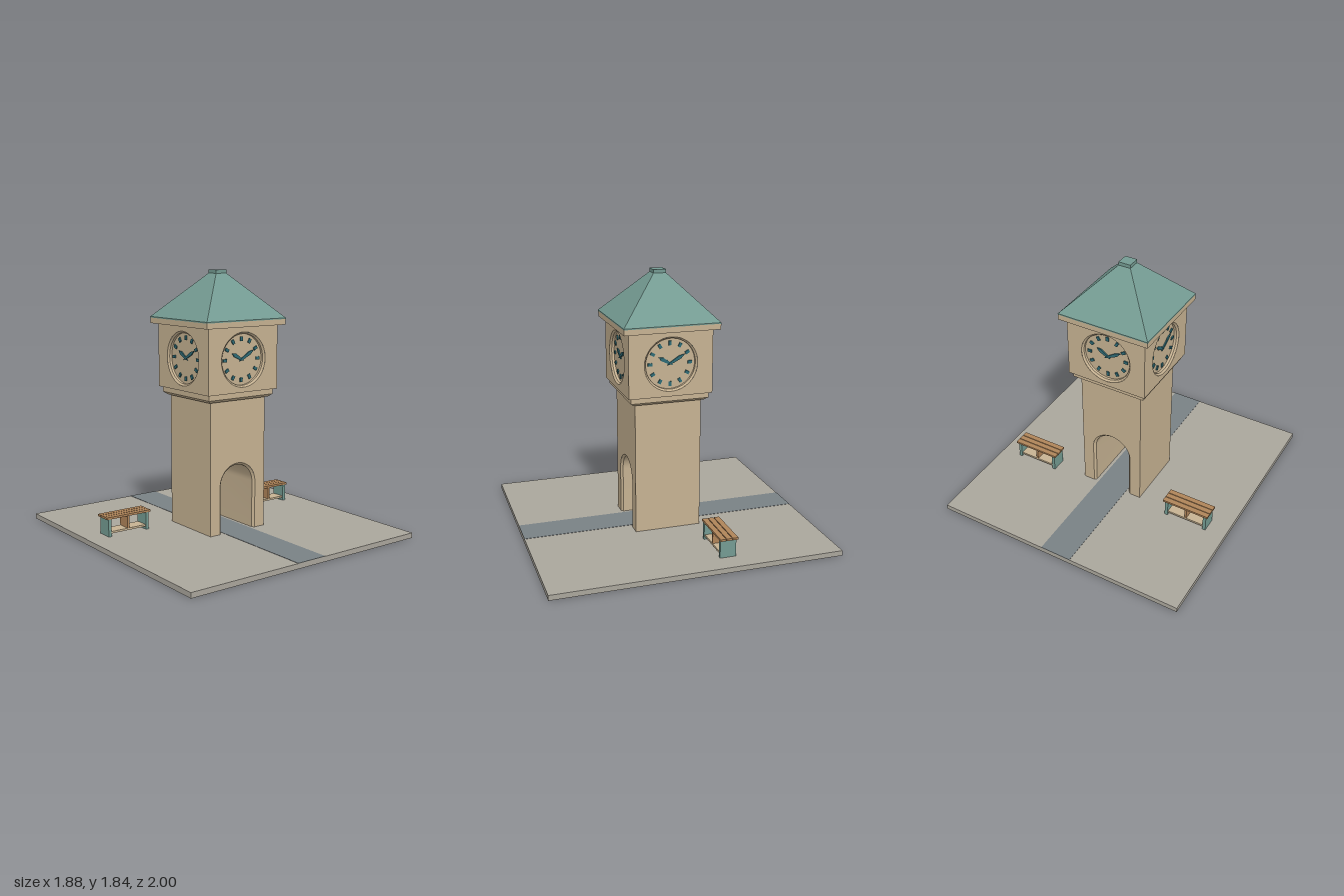
import * as THREE from 'three';
import { toCreasedNormals } from 'three/addons/utils/BufferGeometryUtils.js';

const material = (name, color) => Object.assign(new THREE.MeshStandardMaterial({ color }), { name });

export function createModel() {
  const stone = material('sandstone', 0xc6b292);
  const copper = material('copper green', 0x749b92);
  const paving = material('paving', 0xaaa69c);
  const pathGrey = material('path grey', 0x798184);
  const wood = material('wood', 0xaf8459);
  const teal = material('clock teal', 0x2f6b75);

  const model = new THREE.Group();
  model.name = 'clockTower';

  const add = (parent, name, geometry, mat, x = 0, y = 0, z = 0) => {
    const mesh = new THREE.Mesh(geometry, mat);
    mesh.name = name;
    mesh.position.set(x, y, z);
    parent.add(mesh);
    return mesh;
  };
  const group = (parent, name) => {
    const g = new THREE.Group();
    g.name = name;
    parent.add(g);
    return g;
  };
  // Square block from y0 to y1, with half-widths at the bottom and top
  const block = (parent, name, mat, y0, y1, bottom, top = bottom) => {
    const s = Math.SQRT2;
    const g = new THREE.CylinderGeometry(top * s, bottom * s, y1 - y0, 4).rotateY(Math.PI / 4).toNonIndexed();
    g.computeVertexNormals();
    return add(parent, name, g, mat, 0, (y0 + y1) / 2, 0);
  };

  // Ground slab and path
  const ground = 0.036;
  add(model, 'plaza', new THREE.BoxGeometry(1.88, ground, 2), paving, 0, ground / 2, 0);
  add(model, 'path', new THREE.BoxGeometry(0.23, 0.002, 2), pathGrey, 0, ground + 0.001, 0);

  // Shaft: front and back walls with an arch, plain side walls
  const shaft = group(model, 'shaft');
  const half = 0.235, shaftTop = 0.975, spring = 0.37, archOuter = 0.153, archInner = 0.138;
  const wall = new THREE.Shape();
  wall.moveTo(-half, ground);
  wall.lineTo(-archOuter, ground);
  wall.lineTo(-archOuter, spring);
  wall.absarc(0, spring, archOuter, Math.PI, 0, true);
  wall.lineTo(archOuter, ground);
  wall.lineTo(half, ground);
  wall.lineTo(half, shaftTop);
  wall.lineTo(-half, shaftTop);
  const archWall = new THREE.ShapeGeometry(wall, 24).translate(0, 0, half);
  const sideWall = new THREE.PlaneGeometry(half * 2, shaftTop - ground).translate(0, (shaftTop + ground) / 2, half);
  ['frontWall', 'leftWall', 'backWall', 'rightWall'].forEach((name, i) => {
    add(shaft, name, i % 2 ? sideWall : archWall, stone).rotation.y = i * Math.PI / 2;
  });

  // Passage lining: arch cross-sections swept through the shaft, chamfered at both mouths
  const rings = [[half, archOuter], [half - 0.015, archInner], [0.015 - half, archInner], [-half, archOuter]];
  const positions = [], indices = [], count = 27;
  rings.forEach(([z, r], j) => {
    for (let i = 0; i < count; i++) {
      const a = Math.PI * (1 - (i - 1) / 24);
      if (i === 0) positions.push(-r, ground, z);
      else if (i === count - 1) positions.push(r, ground, z);
      else positions.push(r * Math.cos(a), spring + r * Math.sin(a), z);
      if (j < rings.length - 1 && i < count - 1) {
        const p = j * count + i, q = p + count;
        indices.push(p, q, p + 1, p + 1, q, q + 1);
      }
    }
  });
  const passage = new THREE.BufferGeometry();
  passage.setAttribute('position', new THREE.Float32BufferAttribute(positions, 3));
  passage.setIndex(indices);
  add(shaft, 'archPassage', toCreasedNormals(passage, 0.4), stone);

  // Collar under the clock room
  block(model, 'collarFlare', stone, 0.965, 0.985, 0.25, 0.275);
  block(model, 'collar', stone, 0.985, 1.025, 0.275);

  // Clock room: four walls, each with a recessed dial
  const room = group(model, 'clockRoom');
  const roomHalf = 0.295, roomBottom = 1.023, roomTop = 1.47, dialY = 1.245, dialZ = 0.265;
  const panel = new THREE.Shape([
    new THREE.Vector2(-roomHalf, roomBottom - dialY), new THREE.Vector2(roomHalf, roomBottom - dialY),
    new THREE.Vector2(roomHalf, roomTop - dialY), new THREE.Vector2(-roomHalf, roomTop - dialY)]);
  panel.holes.push(new THREE.Path().absarc(0, 0, 0.187, 0, Math.PI * 2, true));
  const panelGeometry = new THREE.ShapeGeometry(panel, 48);
  const rimProfile = [[0.187, roomHalf], [0.175, roomHalf - 0.012], [0.175, dialZ]];
  const rimGeometry = toCreasedNormals(new THREE.LatheGeometry(
    rimProfile.map(([r, y]) => new THREE.Vector2(r, y)), 48).rotateX(Math.PI / 2), 0.4);
  const dialGeometry = new THREE.CircleGeometry(0.176, 48);
  const markGeometry = new THREE.BoxGeometry(0.02, 0.03, 0.008);
  const handGeometry = (length, width) => new THREE.ExtrudeGeometry(new THREE.Shape([
    new THREE.Vector2(0, -0.022), new THREE.Vector2(width * 0.6, 0),
    new THREE.Vector2(width, length * 0.68), new THREE.Vector2(0, length),
    new THREE.Vector2(-width, length * 0.68), new THREE.Vector2(-width * 0.6, 0)]),
    { depth: 0.008, bevelEnabled: false });
  const hourHand = handGeometry(0.092, 0.013), minuteHand = handGeometry(0.118, 0.012);

  ['front', 'left', 'back', 'right'].forEach((side, i) => {
    const face = group(room, side + 'Clock');
    face.position.y = dialY;
    face.rotation.y = i * Math.PI / 2;
    add(face, 'clockWall', panelGeometry, stone, 0, 0, roomHalf);
    add(face, 'dialRim', rimGeometry, stone);
    add(face, 'dial', dialGeometry, stone, 0, 0, dialZ);
    for (let h = 0; h < 12; h++) {
      const a = h * Math.PI / 6;
      add(face, 'hourMark', markGeometry, teal, 0.14 * Math.sin(a), 0.14 * Math.cos(a), dialZ + 0.004).rotation.z = -a;
    }
    add(face, 'hourHand', hourHand, teal, 0, 0, dialZ).rotation.z = Math.PI / 3;
    add(face, 'minuteHand', minuteHand, teal, 0, 0, dialZ + 0.004).rotation.z = -Math.PI / 3;
  });
  add(room, 'roomFloor', new THREE.PlaneGeometry(roomHalf * 2, roomHalf * 2).rotateX(Math.PI / 2), stone, 0, roomBottom, 0);

  // Cornice, roof and cap
  block(model, 'cornice', stone, 1.468, 1.506, 0.335);
  block(model, 'eaves', copper, 1.506, 1.514, 0.336);
  block(model, 'roof', copper, 1.514, 1.82, 0.336, 0.04);
  block(model, 'roofCap', copper, 1.816, 1.84, 0.044);

  // Benches, one each side
  for (const side of [1, -1]) {
    const bench = group(model, side > 0 ? 'leftBench' : 'rightBench');
    bench.position.set(side * 0.633, 0, -0.236);
    for (const i of [-1, 0, 1]) {
      add(bench, 'seatSlat', new THREE.BoxGeometry(0.35, 0.015, 0.038), wood, 0, 0.167, i * 0.043);
    }
    for (const x of [-0.15, 0.15]) {
      add(bench, 'leg', new THREE.BoxGeometry(0.023, 0.16 - ground, 0.112), copper, x, (0.16 + ground) / 2, 0.003);
    }
    add(bench, 'divider', new THREE.BoxGeometry(0.014, 0.09, 0.1), wood, 0, 0.115, 0.003);
    add(bench, 'shelf', new THREE.BoxGeometry(0.28, 0.014, 0.1), stone, 0, 0.063, 0.003);
  }
  return model;
}
